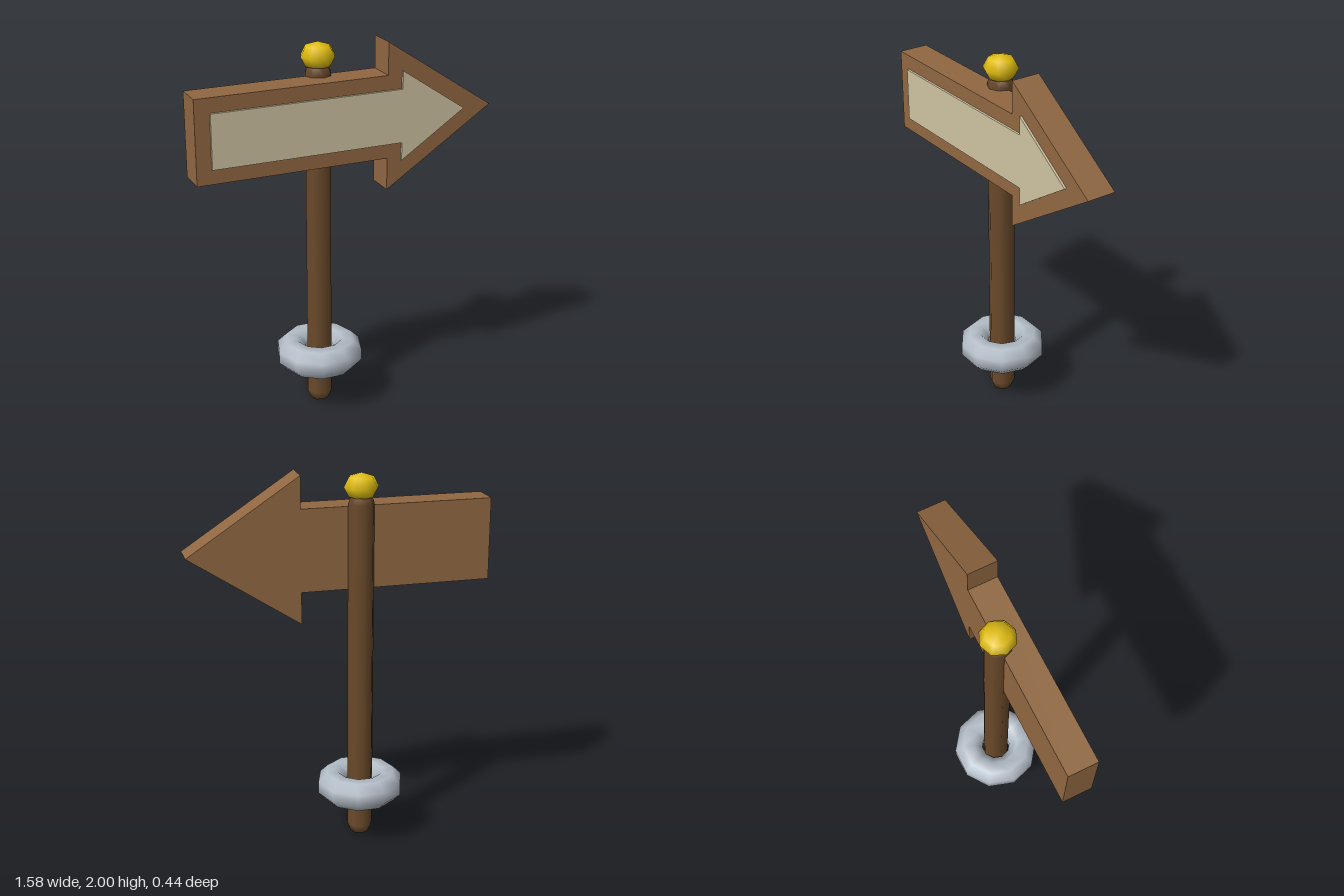
import * as THREE from 'three';

const POST_X = -0.1;

function makeMaterial(name, color) {
  const m = new THREE.MeshStandardMaterial({ color });
  m.name = name;
  return m;
}

// Right-pointing arrow, symmetric about y = 0, extruded from z = 0
function arrowGeometry(tail, neck, tip, shaftHalf, headHalf, depth) {
  const shape = new THREE.Shape([
    [tail, -shaftHalf], [neck, -shaftHalf], [neck, -headHalf], [tip, 0],
    [neck, headHalf], [neck, shaftHalf], [tail, shaftHalf],
  ].map(([x, y]) => new THREE.Vector2(x, y)));
  return new THREE.ExtrudeGeometry(shape, { depth, bevelEnabled: false });
}

export function createModel() {
  const model = new THREE.Group();
  model.name = 'signpost';

  const postWood = makeMaterial('dark wood', 0x6b4a2b);
  const boardWood = makeMaterial('light wood', 0x916842);
  const cream = makeMaterial('cream panel', 0xcfc3a1);
  const stone = makeMaterial('grey stone', 0xb4bdc7);
  const gold = makeMaterial('yellow knob', 0xe0bd10);

  function add(name, geometry, material, x, y, z) {
    const mesh = new THREE.Mesh(geometry, material);
    mesh.name = name;
    mesh.position.set(x, y, z);
    model.add(mesh);
    return mesh;
  }

  // Round-ended post
  add('post', new THREE.CapsuleGeometry(0.069, 1.77, 2, 8), postWood, POST_X, 0.959, 0);

  // Ring around the base: octagonal section, ten sides, seam hidden inside
  const section = [];
  for (let i = 0; i <= 8; i++) {
    const a = -Math.PI + Math.PI / 8 + (i * Math.PI) / 4;
    section.push(new THREE.Vector2(0.153 + 0.083 * Math.cos(a), 0.083 * Math.sin(a)));
  }
  add('baseRing', new THREE.LatheGeometry(section, 10, Math.PI / 2), stone, POST_X, 0.305, 0);

  // Slightly flattened knob on top
  add('knob', new THREE.SphereGeometry(0.091, 8, 4), gold, POST_X, 1.929, 0).scale.y = 0.78;

  // Arrow board and its inset front panel
  add('arrowBoard', arrowGeometry(-0.79, 0.21, 0.79, 0.215, 0.383, 0.155), boardWood, 0, 1.617, 0);
  add('arrowPanel', arrowGeometry(-0.714, 0.286, 0.634, 0.139, 0.233, 0.012), cream, 0, 1.617, 0.155);

  return model;
}
